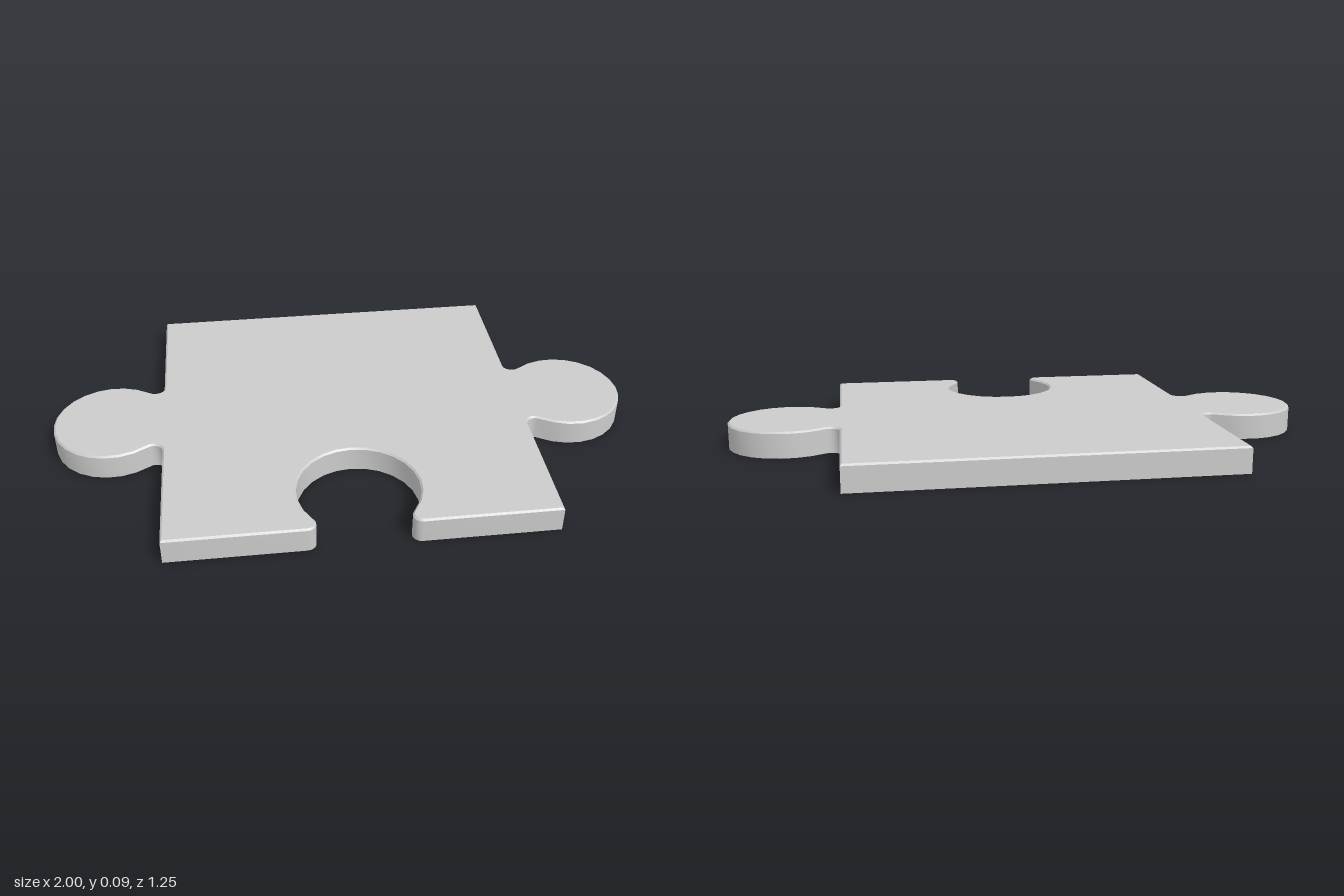
import * as THREE from 'three';
import { toCreasedNormals } from 'three/addons/utils/BufferGeometryUtils.js';

const HALF = 0.625;      // half width of the square body
const HEIGHT = 0.088;
const BEVEL = 0.006;     // softened top edge
const KNOB_R = 0.2, KNOB_D = 0.175;
const FILLET_R = 0.03, FILLET_A = 0.18;
const TILT = 0.41;       // how far the knob wraps past its half circle

// Points [along, depth] of a knob on an edge, from -along to +along
function knobProfile() {
  const neck = [];
  for (let i = 0; i <= 6; i++) {
    const a = 1.5 * Math.PI - (i / 6) * (Math.PI / 2 + TILT);
    neck.push([FILLET_A + FILLET_R * Math.cos(a), FILLET_R + FILLET_R * Math.sin(a)]);
  }
  const head = [];
  for (let i = 0; i <= 16; i++) {
    const a = Math.PI + TILT - (i / 16) * (Math.PI + 2 * TILT);
    head.push([KNOB_R * Math.cos(a), KNOB_D + KNOB_R * Math.sin(a)]);
  }
  return [...neck.map(([a, d]) => [-a, d]), ...head, ...neck.slice().reverse()];
}

// Outline with two side knobs and a matching front socket
function outline() {
  const profile = knobProfile();
  const points = [
    [HALF, -HALF],
    ...profile.map(([a, d]) => [HALF + d, a]),
    [HALF, HALF],
    [-HALF, HALF],
    ...profile.map(([a, d]) => [-HALF - d, -a]),
    [-HALF, -HALF],
    ...profile.map(([a, d]) => [a, -HALF + d]),
  ];
  return new THREE.Shape(points.map(([x, y]) => new THREE.Vector2(x, y)));
}

export function createModel() {
  const group = new THREE.Group();
  group.name = 'puzzlePiece';

  const geometry = new THREE.ExtrudeGeometry(outline(), {
    depth: HEIGHT - BEVEL,
    bevelEnabled: true,
    bevelThickness: BEVEL,
    bevelSize: BEVEL,
    bevelOffset: -BEVEL,
    bevelSegments: 1,
  });

  // Flatten the lower bevel so only the top edge is softened
  const pos = geometry.attributes.position;
  for (let i = 0; i < pos.count; i++) pos.setZ(i, Math.max(0, pos.getZ(i)));
  geometry.rotateX(-Math.PI / 2);

  const piece = new THREE.Mesh(
    toCreasedNormals(geometry, 0.45),
    new THREE.MeshStandardMaterial({ color: 0xcccccc })
  );
  piece.name = 'pieceBody';
  group.add(piece);
  return group;
}
